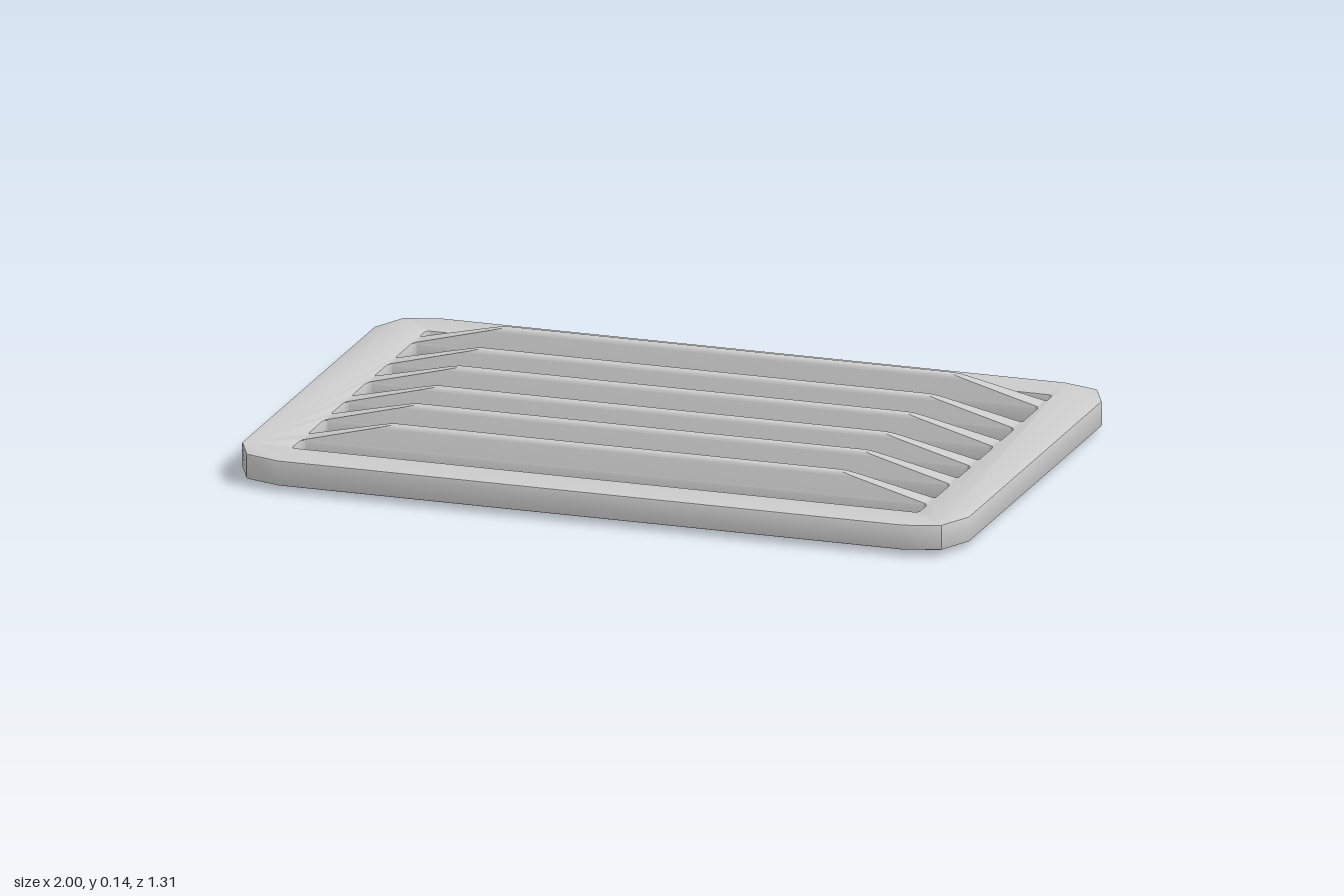
import * as THREE from 'three';
import { toCreasedNormals } from 'three/addons/utils/BufferGeometryUtils.js';

const grey = new THREE.MeshStandardMaterial({ color: 0xcccccc });
const greyThin = new THREE.MeshStandardMaterial({ color: 0xcccccc, side: THREE.DoubleSide });

const BOTTOM = 0.016, TOP = 0.085, CREST = 0.145;
const SLOT_X = 0.86;                 // half length of slots and fins
const FIN_HALF = 0.029;              // half width of a fin at its base
const FIN_Z = [-0.458, -0.263, -0.096, 0.085, 0.25, 0.434];

function addMesh(group, name, geometry, material = grey) {
  const mesh = new THREE.Mesh(geometry, material);
  mesh.name = name;
  group.add(mesh);
  return mesh;
}

// Slot outline with small rounded corners, in shape space (y = -z)
function slotPath(z0, z1) {
  const r = 0.012, x = SLOT_X, a = -z1, b = -z0;
  const p = new THREE.Path();
  p.absarc(x - r, a + r, r, -Math.PI / 2, 0);
  p.absarc(x - r, b - r, r, 0, Math.PI / 2);
  p.absarc(-x + r, b - r, r, Math.PI / 2, Math.PI);
  p.absarc(-x + r, a + r, r, Math.PI, Math.PI * 1.5);
  p.closePath();
  return p;
}

// Flat plate with clipped corners and a slot on either side of every fin
function frameGeometry() {
  const corner = [[1, 0.53], [0.955, 0.625], [0.86, 0.655]];
  const flipped = [...corner].reverse();
  const outline = [
    ...corner,
    ...flipped.map(([x, y]) => [-x, y]),
    ...corner.map(([x, y]) => [-x, -y]),
    ...flipped.map(([x, y]) => [x, -y]),
  ].map(([x, y]) => new THREE.Vector2(x, y));
  const shape = new THREE.Shape(outline);

  let start = -0.54;
  for (const z of FIN_Z) {
    shape.holes.push(slotPath(start, z - FIN_HALF));
    start = z + FIN_HALF;
  }
  shape.holes.push(slotPath(start, 0.535));

  const bevel = 0.005;
  const geo = new THREE.ExtrudeGeometry(shape, {
    depth: TOP - BOTTOM - 2 * bevel, curveSegments: 4,
    bevelThickness: bevel, bevelSize: bevel, bevelOffset: -bevel, bevelSegments: 2,
  });
  geo.rotateX(-Math.PI / 2).translate(0, BOTTOM + bevel, 0);
  return toCreasedNormals(geo, 0.75);
}

// Tapered fin with a rounded crest and ends that slope down to the frame
function finGeometry() {
  const r = 0.016, base = TOP - 0.001;
  const s = new THREE.Shape();
  s.moveTo(-FIN_HALF, base);
  s.lineTo(FIN_HALF, base);
  s.absarc(0, CREST - r, r, 0.25, Math.PI - 0.25);
  s.closePath();
  const geo = new THREE.ExtrudeGeometry(s, { depth: 2, bevelEnabled: false, curveSegments: 8 });
  geo.translate(0, 0, -1).rotateY(Math.PI / 2);
  const p = geo.attributes.position;
  for (let i = 0; i < p.count; i++) {
    const t = Math.max(0, (p.getY(i) - TOP) / (CREST - TOP));
    p.setX(i, Math.sign(p.getX(i)) * (SLOT_X - 0.25 * t));
  }
  return toCreasedNormals(geo, 0.6);
}

export function createModel() {
  const model = new THREE.Group();
  model.name = 'slottedVent';

  addMesh(model, 'frame', frameGeometry());

  const fins = new THREE.Group();
  fins.name = 'fins';
  const fin = finGeometry();
  FIN_Z.forEach((z, i) => { addMesh(fins, `fin${i + 1}`, fin).position.z = z; });
  model.add(fins);

  // Thin backing sheet that leaves a gap under the rearmost slot
  const back = new THREE.PlaneGeometry(1.78, 1.09).rotateX(-Math.PI / 2).translate(0, 0, 0.035);
  addMesh(model, 'backingSheet', back, greyThin);

  return model;
}
